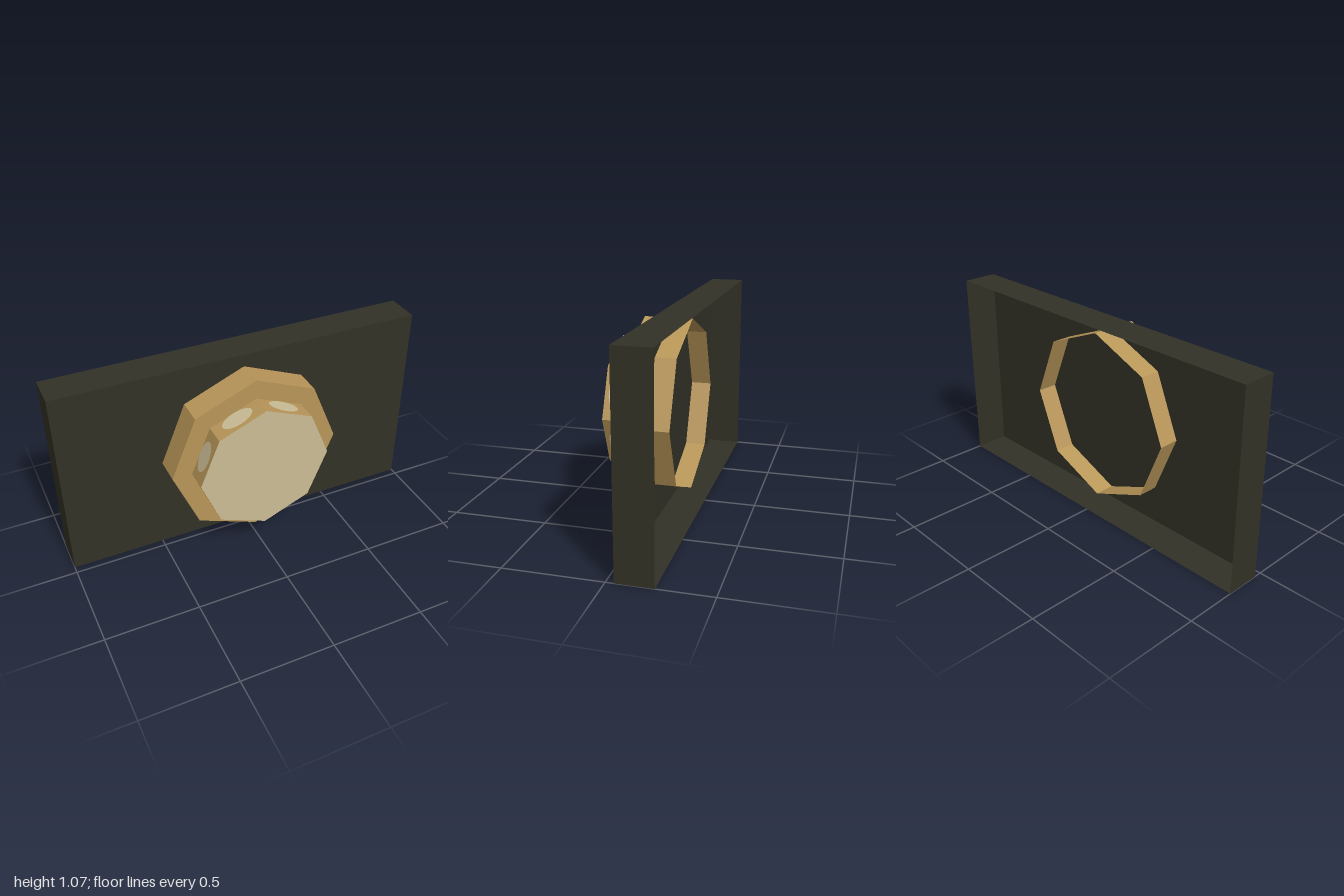
import * as THREE from 'three';

const CENTRE_Y = 0.533;
const SIDES = 8;

const material = (name, color) => {
  const m = new THREE.MeshStandardMaterial({ color, side: THREE.DoubleSide });
  m.name = name;
  return m;
};

export function createModel() {
  const group = new THREE.Group();
  const dark = material('dark olive', 0x323126);
  const brass = material('brass', 0xb89658);
  const cream = material('cream', 0xcbbd96);

  const add = (name, geometry, mat, x, y, z) => {
    const mesh = new THREE.Mesh(geometry, mat);
    mesh.name = name;
    mesh.position.set(x, y, z);
    group.add(mesh);
    return mesh;
  };

  // Open, faceted octagonal wall running from zBack to zFront
  const octagonWall = (name, radius, zBack, zFront) => {
    const wall = new THREE.CylinderGeometry(radius, radius, zFront - zBack, SIDES, 1, true)
      .rotateX(Math.PI / 2).toNonIndexed();
    wall.computeVertexNormals();
    add(name, wall, brass, 0, CENTRE_Y, (zFront + zBack) / 2);
  };

  // Backing panel: a shallow tray, open at the back (last face dropped)
  const tray = new THREE.BoxGeometry(2, 1.067, 0.187);
  tray.setIndex(Array.from(tray.index.array).slice(0, 30));
  tray.clearGroups();
  add('backingPanel', tray, dark, 0, CENTRE_Y, -0.1335);

  // Wide base ring, passing through the panel
  octagonWall('baseWall', 0.467, -0.15, 0.107);
  add('baseFace', new THREE.CircleGeometry(0.467, SIDES), brass, 0, CENTRE_Y, 0.107);

  // Smaller knob with a pale face
  const knobRadius = 0.36;
  octagonWall('knobWall', knobRadius, 0.107, 0.227);
  add('knobFace', new THREE.CircleGeometry(knobRadius, SIDES), cream, 0, CENTRE_Y, 0.227);

  // Pale oval inlay on each knob facet
  const inlay = new THREE.CircleGeometry(1, 24).scale(0.086, 0.049, 1).rotateX(-Math.PI / 2);
  const reach = knobRadius * Math.cos(Math.PI / SIDES) + 0.002;
  for (let i = 0; i < SIDES; i++) {
    const a = (i + 0.5) * 2 * Math.PI / SIDES;
    const oval = add('facetInlay', inlay, cream,
      reach * Math.sin(a), CENTRE_Y + reach * Math.cos(a), 0.157);
    oval.rotation.z = -a;
  }

  return group;
}
